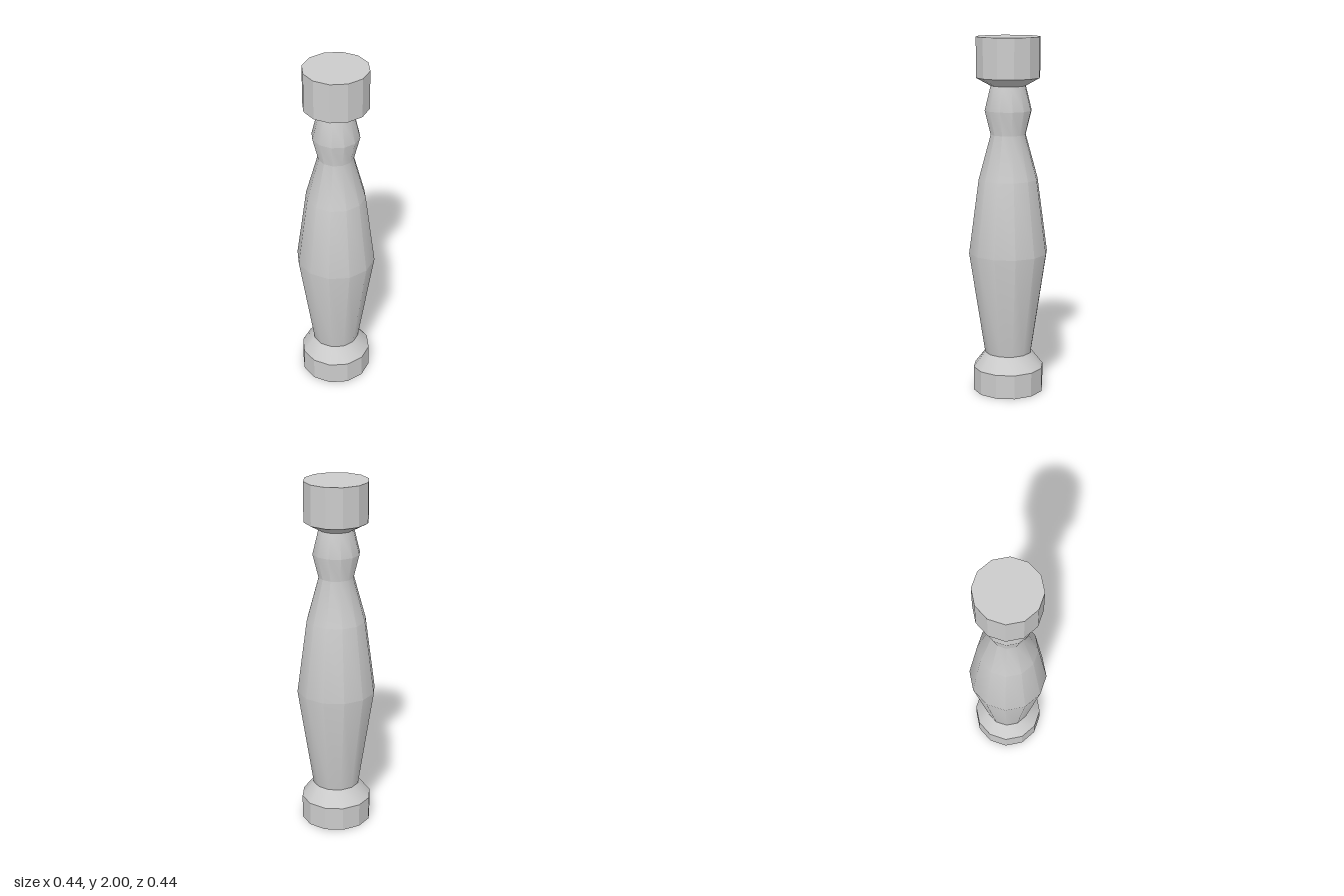
import * as THREE from 'three';
import { toCreasedNormals } from 'three/addons/utils/BufferGeometryUtils.js';

const SIDES = 12;
const CREASE = THREE.MathUtils.degToRad(29.8); // straight bands stay faceted, tapers stay soft

// Turned section from a bottom-to-top list of [radius, height]
function turned(name, profile, material) {
  const points = profile.map(([r, y]) => new THREE.Vector2(r, y));
  const geometry = toCreasedNormals(new THREE.LatheGeometry(points, SIDES), CREASE);
  const mesh = new THREE.Mesh(geometry, material);
  mesh.name = name;
  return mesh;
}

export function createModel() {
  const group = new THREE.Group();
  group.name = 'baluster';
  const material = new THREE.MeshStandardMaterial({ color: 0xcccccc });

  group.add(
    // Round foot with a sloped shoulder
    turned('base', [[0, 0], [0.2, 0], [0.2, 0.137], [0.133, 0.223]], material),
    // Swelling shaft, narrow waist and small upper bulge
    turned('shaft', [
      [0.133, 0.223], [0.222, 0.803], [0.166, 1.22],
      [0.098, 1.467], [0.131, 1.6], [0.098, 1.735],
    ], material),
    // Drum-shaped top with a flared underside
    turned('capital', [[0.098, 1.735], [0.178, 1.779], [0.178, 2], [0, 2]], material),
  );
  return group;
}
